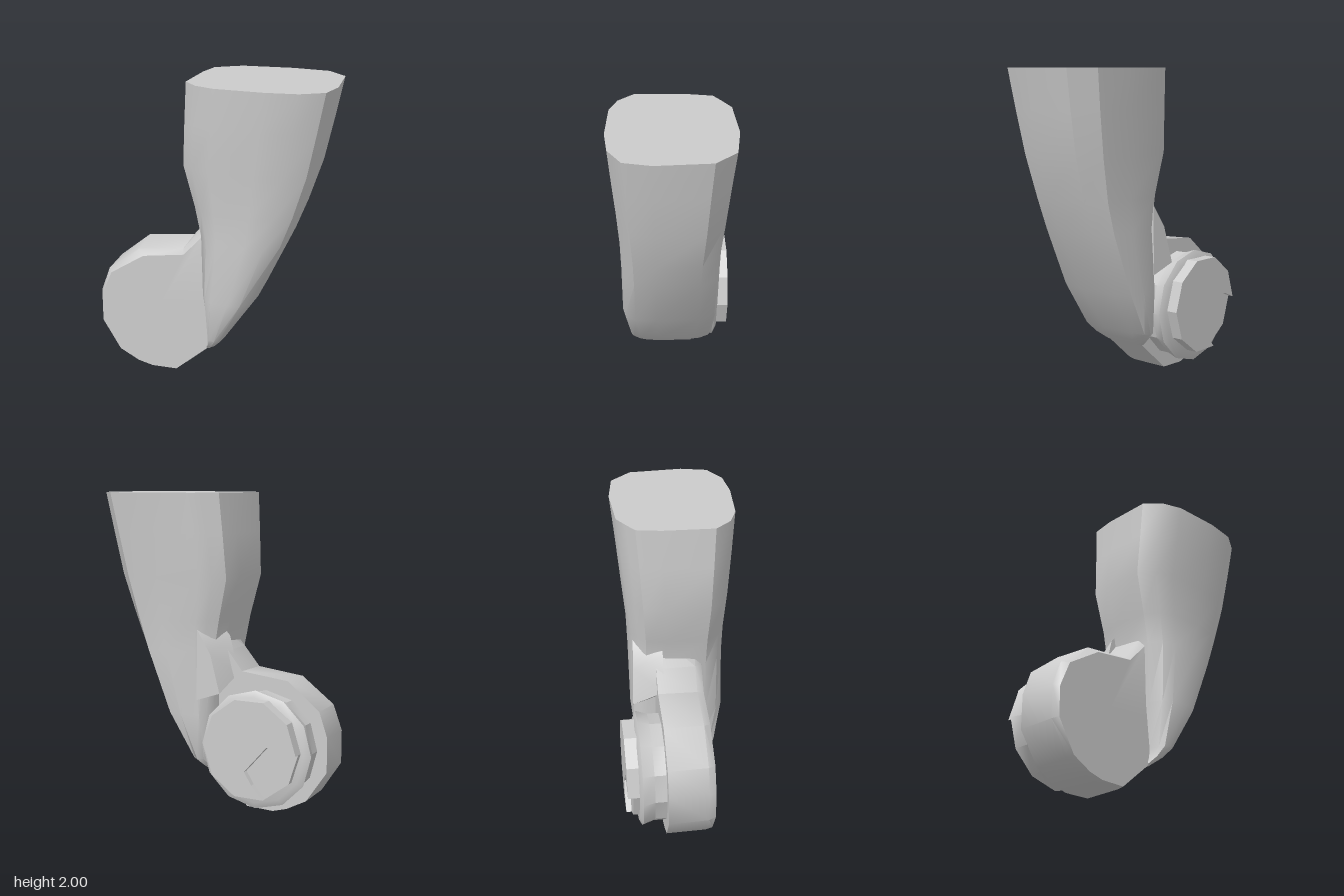
import * as THREE from 'three';
import { toCreasedNormals } from 'three/addons/utils/BufferGeometryUtils.js';

const material = new THREE.MeshStandardMaterial({ color: 0xcccccc });

// Skin between matching rings (counter-clockwise seen from the last ring), with closed ends.
function loft(rings) {
  const n = rings[0].length;
  const positions = rings.flat(2);
  const index = [];
  for (let r = 0; r < rings.length - 1; r++) {
    for (let j = 0; j < n; j++) {
      const k = (j + 1) % n;
      const a = r * n + j, b = r * n + k, c = a + n, d = b + n;
      index.push(a, b, d, a, d, c);
    }
  }
  const cap = (r, flip) => {
    const centre = positions.length / 3;
    for (let i = 0; i < 3; i++) positions.push(rings[r].reduce((s, p) => s + p[i], 0) / n);
    for (let j = 0; j < n; j++) {
      const a = r * n + j, b = r * n + (j + 1) % n;
      index.push(centre, flip ? b : a, flip ? a : b);
    }
  };
  cap(0, true);
  cap(rings.length - 1, false);
  const geometry = new THREE.BufferGeometry();
  geometry.setAttribute('position', new THREE.Float32BufferAttribute(positions, 3));
  geometry.setIndex(index);
  return toCreasedNormals(geometry, 0.65);
}

export function createModel() {
  const group = new THREE.Group();
  const add = (name, geometry) => {
    const mesh = new THREE.Mesh(geometry, material);
    mesh.name = name;
    group.add(mesh);
    return mesh;
  };

  // Limb: one rounded section fitted to [y, xMin, xMax, zMin, zMax] at each level.
  const section = [
    [0, 0.78], [0.1, 0.91], [0.24, 0.975], [0.58, 1], [0.8, 0.975], [0.956, 0.87],
    [1, 0.65], [0.98, 0.21], [0.846, 0.04], [0.58, 0], [0.22, 0.026], [0.13, 0.09],
    [0.04, 0.16], [0.01, 0.36],
  ];
  const levels = [
    [0.2, -0.04, 0, -0.145, 0.155],
    [0.25, -0.02, 0.06, -0.21, 0.22],
    [0.31, -0.01, 0.11, -0.27, 0.27],
    [0.6, -0.04, 0.31, -0.3, 0.32],
    [1.0, -0.05, 0.5, -0.3, 0.32],
    [1.2, -0.09, 0.58, -0.305, 0.325],
    [1.47, -0.16, 0.67, -0.33, 0.345],
    [1.75, -0.145, 0.73, -0.355, 0.37],
    [2.0, -0.13, 0.78, -0.38, 0.39],
  ];
  add('limb', loft(levels.map(([y, x0, x1, z0, z1]) =>
    section.map(([u, v]) => [x0 + u * (x1 - x0), y, z0 + v * (z1 - z0)]))));

  // Joint housing: rounded outline running up into the limb, chamfered at the front.
  const front = [
    [-0.24, 0.015], [-0.01, 0.21], [0.03, 0.5], [0.05, 1.06], [-0.05, 0.99], [-0.18, 0.85],
    [-0.46, 0.81], [-0.69, 0.665], [-0.76, 0.5], [-0.76, 0.31], [-0.64, 0.11],
    [-0.51, 0.04], [-0.41, 0.015],
  ];
  const back = [
    [-0.24, 0.005], [-0.01, 0.2], [0.03, 0.5], [0.05, 1.2], [-0.1, 1.01], [-0.2, 0.885],
    [-0.52, 0.85], [-0.73, 0.68], [-0.785, 0.52], [-0.785, 0.3], [-0.65, 0.1],
    [-0.52, 0.03], [-0.42, 0],
  ];
  const blend = (t, z) => back.map((p, i) => [
    p[0] + t * (front[i][0] - p[0]), p[1] + t * (front[i][1] - p[1]), z]);
  add('jointHousing', loft([blend(0, -0.145), blend(0.25, 0.11), blend(1, 0.155)]));

  // Web that fills the crook between the limb and the joint.
  add('crookWeb', loft([
    [[0.05, 0.7, -0.29], [0.05, 1.15, -0.28], [-0.05, 1.0, -0.29], [-0.12, 0.76, -0.3]],
    [[0.05, 0.7, -0.1], [0.05, 1.25, -0.1], [-0.09, 1.1, -0.1], [-0.15, 0.86, -0.1]],
  ]));

  // Grooved collar behind the housing.
  const profile = [[0, 0.1], [0.35, 0.1], [0.35, 0.22], [0.375, 0.295], [0.335, 0.315], [0, 0.315]];
  const collar = new THREE.LatheGeometry(profile.map(([r, h]) => new THREE.Vector2(r, h)), 12);
  collar.rotateX(-Math.PI / 2);
  add('collar', toCreasedNormals(collar, 0.5)).position.set(-0.37, 0.43, 0);

  // Raised end cap: a ten-sided plate with a hooked notch over a shallower floor plate.
  const rim = (i) => {
    const a = (i / 10) * Math.PI * 2;
    return new THREE.Vector2(0.315 * Math.cos(a), 0.32 * Math.sin(a));
  };
  const notched = [0, 1, 2, 3, 4, 5].map(rim);
  notched.push(new THREE.Vector2(-0.22, 0.04), new THREE.Vector2(-0.12, 0.03),
    new THREE.Vector2(0.03, -0.14), new THREE.Vector2(-0.02, -0.22));
  notched.push(...[7, 8, 9].map(rim));
  const whole = Array.from({ length: 10 }, (_, i) => rim(i));
  const plate = (name, points, depth) => {
    const geometry = new THREE.ExtrudeGeometry(new THREE.Shape(points), { depth, bevelEnabled: false });
    add(name, geometry).position.set(-0.37, 0.45, -0.31 - depth);
  };
  plate('endCap', notched, 0.08);
  plate('notchFloor', whole, 0.045);

  return group;
}
